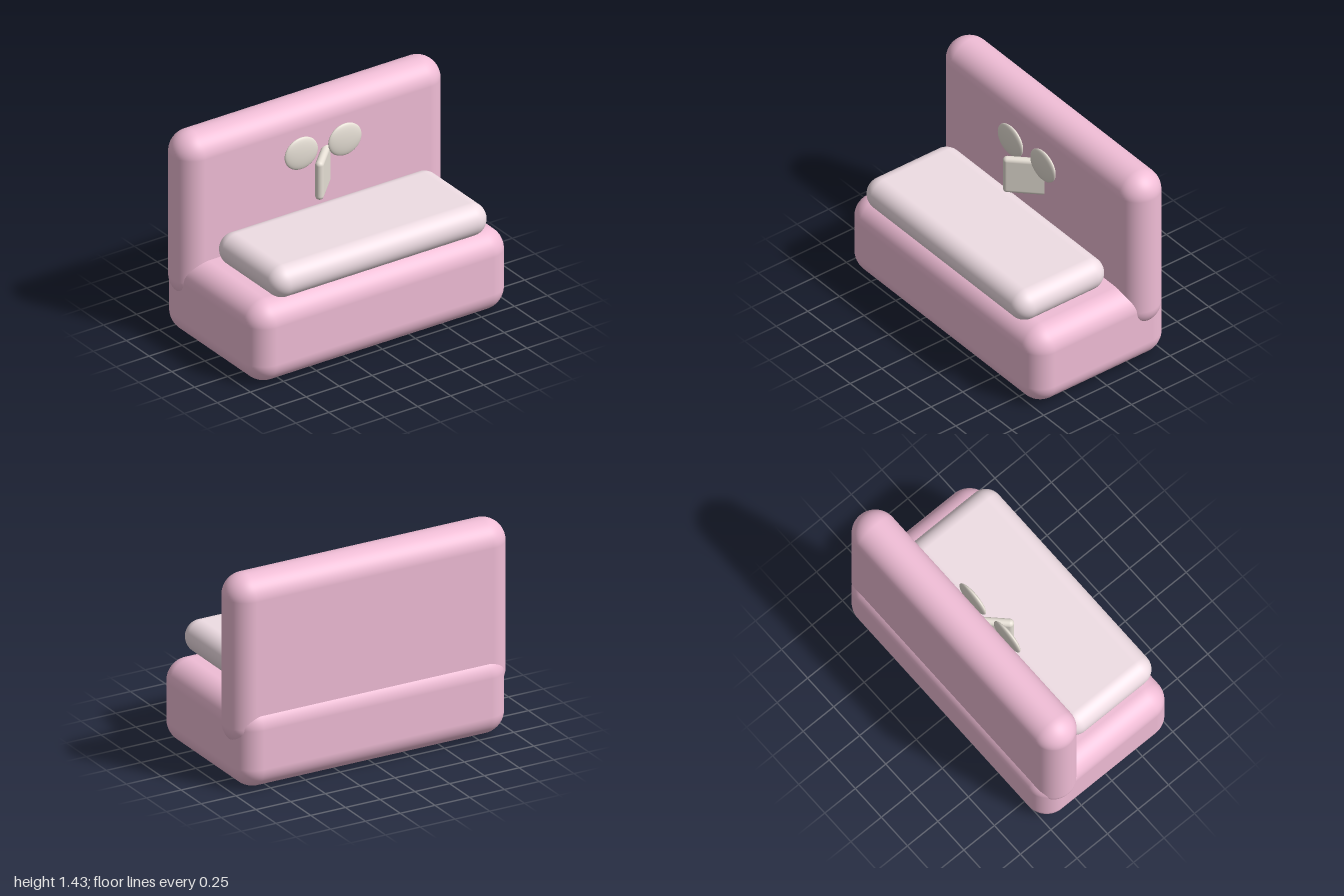
import * as THREE from 'three';
import { RoundedBoxGeometry } from 'three/addons/geometries/RoundedBoxGeometry.js';

export function createModel() {
  const group = new THREE.Group();
  const pink = new THREE.MeshStandardMaterial({ color: 0xf0bdd6 });
  const palePink = new THREE.MeshStandardMaterial({ color: 0xefdde4 });
  const cream = new THREE.MeshStandardMaterial({ color: 0xe6dfd5 });

  const add = (name, geometry, material, x, y, z) => {
    const mesh = new THREE.Mesh(geometry, material);
    mesh.name = name;
    mesh.position.set(x, y, z);
    group.add(mesh);
    return mesh;
  };
  const pad = (w, h, d, r) => new RoundedBoxGeometry(w, h, d, 10, r);

  // Upholstered body
  add('base', pad(1.94, 0.565, 1.07, 0.15), pink, -0.003, 0.2825, 0);
  add('backrest', pad(2, 1.16, 0.296, 0.148), pink, 0, 0.852, -0.358);
  add('seatCushion', pad(1.64, 0.22, 0.712, 0.11), palePink, -0.003, 0.675, 0.179);

  // Bow: a turned square knot between two flattened loops
  const knot = add('bowKnot', pad(0.3, 0.27, 0.055, 0.0274), cream, -0.003, 0.975, -0.148);
  knot.rotation.y = Math.PI / 4;
  for (const side of [-1, 1]) {
    const loop = add(side > 0 ? 'leftBowLoop' : 'rightBowLoop',
      new THREE.SphereGeometry(1, 40, 24), cream, side * 0.165 - 0.003, 1.151, -0.148);
    loop.scale.set(0.125, 0.111, 0.025);
  }
  return group;
}
